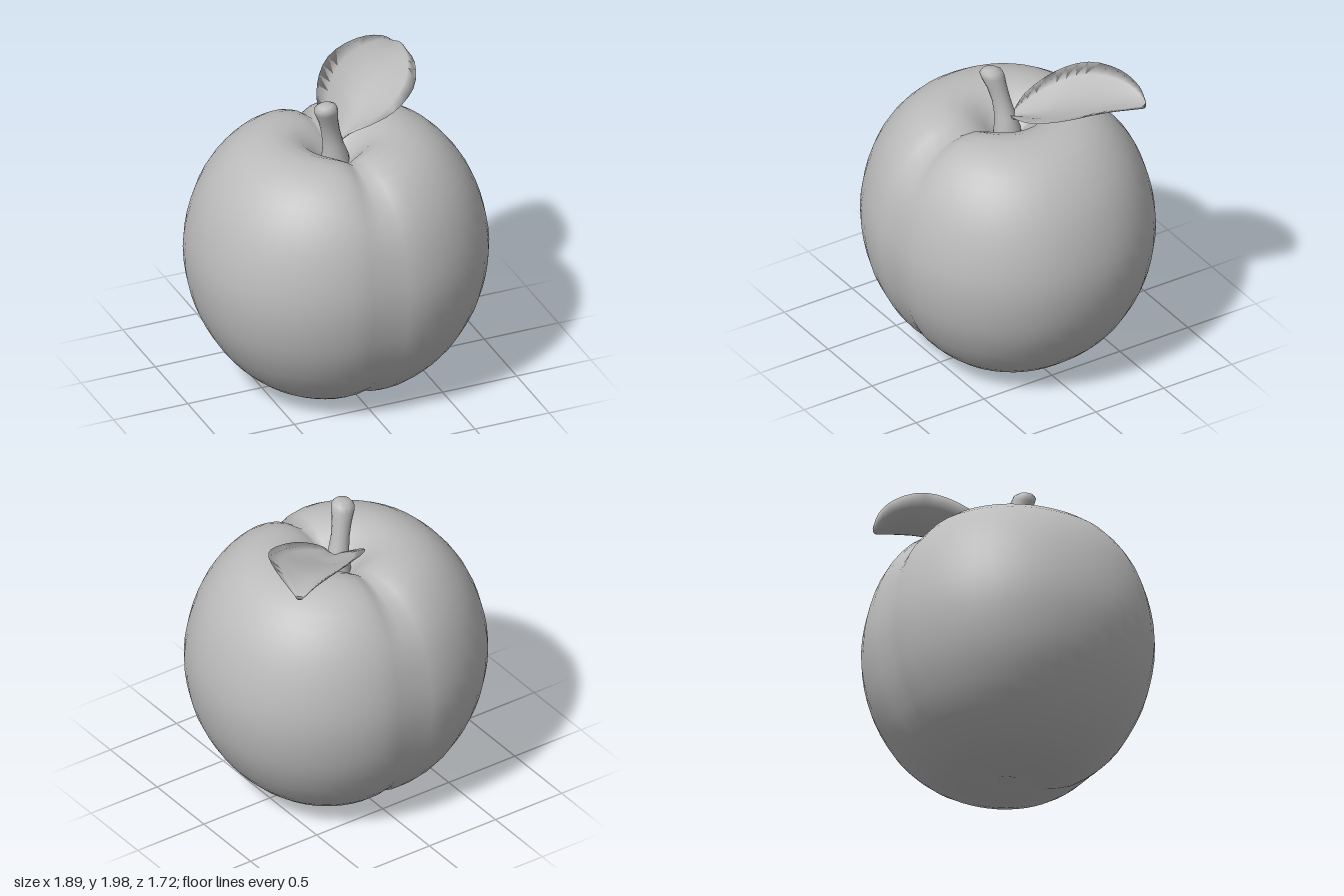
import * as THREE from 'three';
import { mergeVertices } from 'three/addons/utils/BufferGeometryUtils.js';

const V = (x, y, z) => new THREE.Vector3(x, y, z);
const spline = (points) => new THREE.CatmullRomCurve3(points.map((p) => V(p[0], p[1], p[2] || 0)));

// Moves every vertex by a rule, then welds seams and smooths the normals
function reshape(geometry, rule) {
  const pos = geometry.attributes.position;
  const p = V(0, 0, 0);
  for (let i = 0; i < pos.count; i++) {
    rule(p.fromBufferAttribute(pos, i));
    pos.setXYZ(i, p.x, p.y, p.z);
  }
  geometry.deleteAttribute('normal');
  geometry.deleteAttribute('uv');
  const welded = mergeVertices(geometry, 1e-4);
  welded.computeVertexNormals();
  return welded;
}

// Rounded fruit with a dimpled top and a crease running round the plane x = 0
function fruitGeometry() {
  const profile = spline([
    [0, 1.5], [0.1, 1.57], [0.22, 1.68], [0.38, 1.715], [0.6, 1.65], [0.78, 1.47],
    [0.89, 1.24], [0.945, 0.93], [0.9, 0.62], [0.82, 0.43], [0.7, 0.25],
    [0.48, 0.07], [0.28, 0.01], [0.12, 0.01], [0, 0.03],
  ]);
  const e = 2.15;
  return reshape(new THREE.SphereGeometry(1, 48, 32), (p) => {
    const q = profile.getPointAt(Math.acos(THREE.MathUtils.clamp(p.y, -1, 1)) / Math.PI);
    const angle = Math.atan2(p.z, p.x);
    const c = Math.cos(angle), s = Math.sin(angle);
    const bulge = Math.pow(Math.abs(c) ** e + Math.abs(s) ** e, -1 / e);
    const r = Math.max(q.x, 0) * bulge;
    p.set(r * c, q.y, r * s * 0.925);
    const crease = Math.exp(-Math.abs(p.x) / 0.1);
    p.z *= 1 - 0.04 * crease;
    p.y -= 0.09 * crease * THREE.MathUtils.smoothstep(p.y, 1.2, 1.7);
    p.y += 0.03 * crease * (1 - THREE.MathUtils.smoothstep(p.y, 0, 0.4));
  });
}

// Leaning stem, flared at the foot and at the rounded tip
function stemGeometry() {
  const outline = [
    [0.1, 1.4], [0.085, 1.56], [0.065, 1.65], [0.058, 1.75], [0.062, 1.84],
    [0.073, 1.91], [0.07, 1.945], [0.045, 1.965], [0, 1.97],
  ].map(([r, y]) => new THREE.Vector2(r, y));
  return reshape(new THREE.LatheGeometry(outline, 14), (p) => {
    const t = Math.max(0, (p.y - 1.5) / 0.45);
    const tilt = p.x * 0.15 * t;
    p.x -= 0.1 * Math.pow(t, 1.3);
    p.z += 0.065 * t * t;
    p.y += tilt;
  });
}

// Cupped leaf, lofted across its left edge, midrib and right edge
function leafGeometry() {
  const left = spline([
    [0, 1.66, -0.03], [-0.04, 1.74, -0.15], [0.02, 1.87, -0.34], [0.16, 1.96, -0.49],
    [0.39, 1.99, -0.58], [0.57, 1.96, -0.6], [0.66, 1.9, -0.59],
  ]);
  const mid = spline([
    [0.02, 1.64, -0.02], [0.1, 1.68, -0.08], [0.2, 1.73, -0.17], [0.3, 1.79, -0.25],
    [0.45, 1.86, -0.36], [0.58, 1.89, -0.47], [0.68, 1.89, -0.57],
  ]);
  const right = spline([
    [0.04, 1.66, 0], [0.07, 1.7, 0.03], [0.2, 1.76, 0.08], [0.36, 1.81, 0.07],
    [0.54, 1.88, -0.04], [0.65, 1.92, -0.27], [0.69, 1.89, -0.54],
  ]);
  const rows = 18, across = 8, ring = across * 2;
  const verts = [], index = [];
  for (let i = 0; i <= rows; i++) {
    const t = i / rows;
    const l = left.getPoint(t), m = mid.getPoint(t), r = right.getPoint(t);
    for (let j = 0; j < ring; j++) {
      const under = j > across;
      const u = (under ? ring - j : j) / across;
      const p = V(0, 0, 0)
        .addScaledVector(l, (2 * u - 1) * (u - 1))
        .addScaledVector(m, 4 * u * (1 - u))
        .addScaledVector(r, u * (2 * u - 1));
      const thick = 0.014 * Math.sqrt(4 * u * (1 - u));
      verts.push(p.x, p.y + (under ? -thick : thick), p.z);
    }
  }
  for (let i = 0; i < rows; i++) {
    for (let j = 0; j < ring; j++) {
      const a = i * ring + j, b = i * ring + ((j + 1) % ring);
      index.push(a, b, a + ring, b, b + ring, a + ring);
    }
  }
  // Closed ends
  const last = rows * ring;
  for (let j = 1; j < ring - 1; j++) {
    index.push(0, j + 1, j, last, last + j, last + j + 1);
  }
  const geometry = new THREE.BufferGeometry();
  geometry.setAttribute('position', new THREE.Float32BufferAttribute(verts, 3));
  geometry.setIndex(index);
  geometry.computeVertexNormals();
  return geometry;
}

export function createModel() {
  const grey = new THREE.MeshStandardMaterial({ color: 0xbbbbbb });
  grey.name = 'plain grey';
  const model = new THREE.Group();
  model.name = 'fruit with leaf';
  const parts = { fruit: fruitGeometry(), stem: stemGeometry(), leaf: leafGeometry() };
  for (const [name, geometry] of Object.entries(parts)) {
    const mesh = new THREE.Mesh(geometry, grey);
    mesh.name = name;
    model.add(mesh);
  }
  return model;
}
